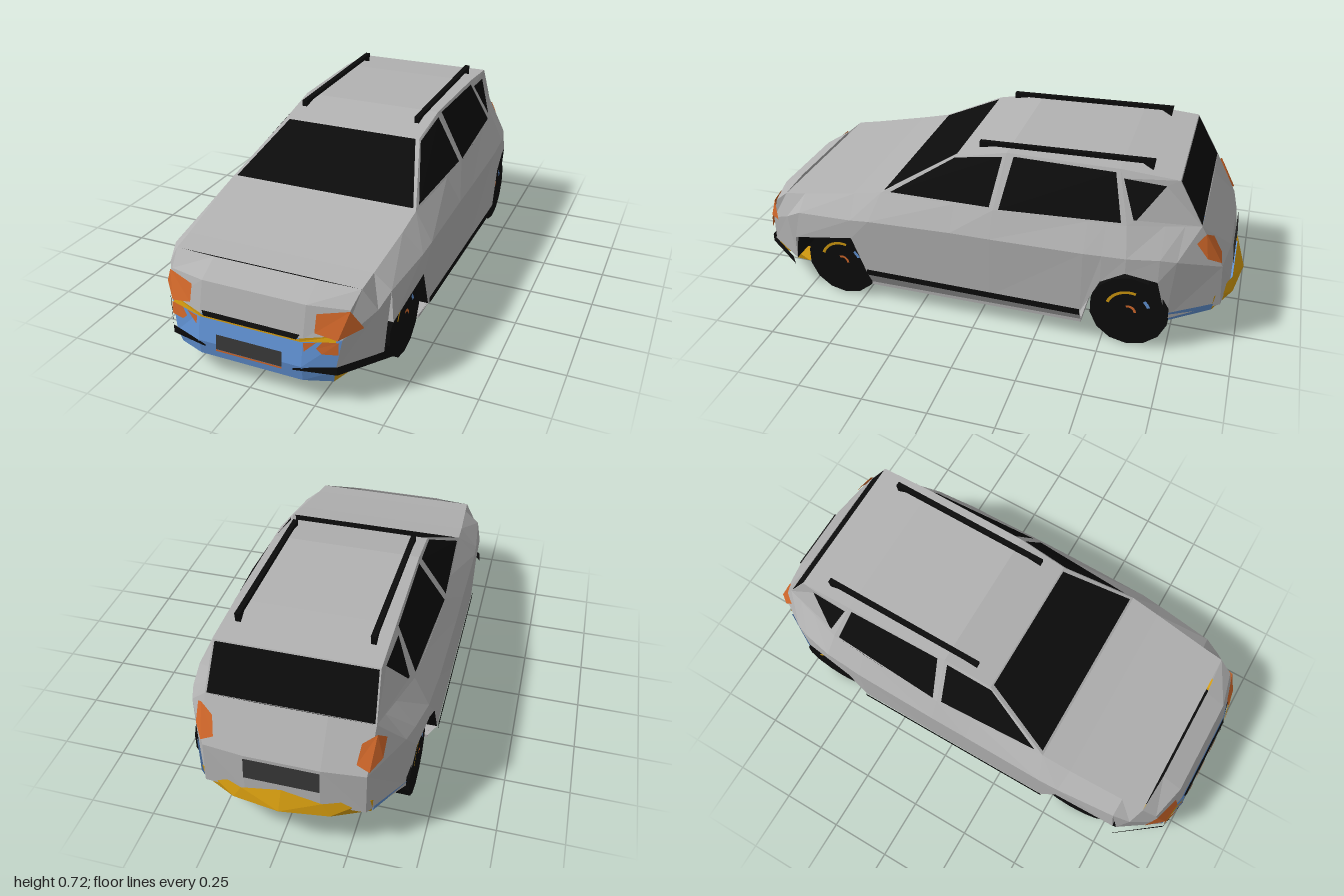
import * as THREE from 'three';

const paint = (name, color) => {
  const m = new THREE.MeshStandardMaterial({ color, side: THREE.DoubleSide, flatShading: true });
  m.name = name;
  return m;
};
const grey = paint('body grey', 0xb2b2b2), black = paint('black', 0x0c0c0c), blue = paint('blue', 0x6294d6),
  yellow = paint('yellow', 0xd0980f), orange = paint('orange', 0xd2682a), dark = paint('plate grey', 0x383838);

const flip = (pts) => pts.map(([x, y, z]) => [-x, y, z]);
const mix = (a, b, t) => a.map((v, i) => v + (b[i] - v) * t);

export function createModel() {
  const car = new THREE.Group();
  car.name = 'car';

  const add = (name, mat, geo) => {
    const mesh = new THREE.Mesh(geo, mat);
    mesh.name = name;
    car.add(mesh);
    return mesh;
  };
  const fromTris = (name, mat, tris) => {
    const geo = new THREE.BufferGeometry();
    geo.setAttribute('position', new THREE.Float32BufferAttribute(tris.flat(), 3));
    geo.computeVertexNormals();
    return add(name, mat, geo);
  };
  // Flat polygon as a fan
  const panel = (name, mat, p) => {
    const t = [];
    for (let i = 1; i < p.length - 1; i++) t.push(p[0], p[i], p[i + 1]);
    fromTris(name, mat, t);
  };
  // Surface joining rows of points with equal counts
  const skin = (name, mat, rows) => {
    const t = [];
    for (let r = 0; r < rows.length - 1; r++) {
      for (let i = 0; i < rows[r].length - 1; i++) {
        const [a, b, c, d] = [rows[r][i], rows[r][i + 1], rows[r + 1][i + 1], rows[r + 1][i]];
        t.push(a, b, c, a, c, d);
      }
    }
    fromTris(name, mat, t);
  };
  const panels = (name, mat, p) => { panel(name + 'Left', mat, p); panel(name + 'Right', mat, flip(p)); };
  const skins = (name, mat, rows) => { skin(name + 'Left', mat, rows); skin(name + 'Right', mat, rows.map(flip)); };
  // Half row continued across the centre
  const across = (row) => [...row, ...flip(row).reverse()];
  // Glass set into a four-cornered frame, inner corners given as (u, v)
  const framed = (name, quad, inner, mirror) => {
    const [a, b, c, d] = quad;
    const q = inner.map(([u, v]) => mix(mix(a, b, u), mix(d, c, u), v));
    const close = (p) => [...p, p[0]];
    (mirror ? skins : skin)(name + 'Frame', grey, [close(quad), close(q)]);
    (mirror ? panels : panel)(name + 'Glass', black, q);
  };

  // Side body lines from nose to tail: lower edge with arches, bulge, belt
  const lower = [[.31, .13, .96], [.42, .13, .8], [.445, .25, .78], [.46, .3, .52], [.46, .14, .46], [.46, .14, .1],
    [.46, .14, -.06], [.46, .14, -.42], [.455, .29, -.49], [.45, .34, -.58], [.43, .31, -.7], [.41, .14, -.74], [.3, .17, -.93]];
  const bulge = [[.33, .25, .945], [.41, .32, .83], [.43, .36, .76], [.455, .38, .52], [.46, .39, .44], [.46, .4, .1],
    [.46, .4, -.06], [.455, .4, -.42], [.45, .4, -.49], [.445, .4, -.58], [.42, .4, -.7], [.4, .39, -.76], [.3, .34, -.92]];
  const belt = [[.345, .35, .91], [.36, .4, .85], [.365, .415, .76], [.38, .46, .53], [.385, .487, .41], [.401, .496, .1],
    [.41, .5, -.06], [.393, .504, -.42], [.389, .505, -.49], [.385, .505, -.565], [.341, .505, -.7], [.324, .505, -.77], [.31, .505, -.83]];
  skins('bodySide', grey, [lower, bulge, belt]);

  // Hood, roof and glasshouse
  skin('hood', grey, belt.slice(1, 5).map((p) => across([p])));
  const roof = [[.29, .65, .12], [.295, .69, -.08], [.3, .69, -.515], [.3, .675, -.735]];
  skin('roof', grey, roof.map((p) => across([p])));
  framed('frontDoorWindow', [belt[4], belt[6], roof[1], roof[0]], [[.06, .04], [.96, .04], [.94, .93], [.06, .93]], true);
  framed('rearDoorWindow', [belt[6], belt[9], roof[2], roof[1]], [[.04, .02], [.96, .04], [.96, .93], [.07, .95]], true);
  framed('quarterWindow', [belt[9], belt[12], roof[3], roof[2]], [[.1, .1], [.14, .1], [.72, .82], [.04, .84]], true);
  const flipOne = (p) => flip([p])[0];
  framed('windshield', [flipOne(belt[4]), belt[4], roof[0], flipOne(roof[0])],
    [[.015, .03], [.985, .03], [.97, .98], [.03, .98]]);
  framed('rearWindow', [flipOne(belt[12]), belt[12], roof[3], flipOne(roof[3])],
    [[.01, .01], [.99, .01], [.99, .97], [.01, .97]]);

  // Nose and front bumper
  const noseLow = [bulge[0], [.2, .24, .975]];
  skin('nose', grey, [across([belt[1], [.2, .403, .86]]), across([belt[0], [.2, .355, .945]]), across(noseLow)]);
  const bumperMid = [lower[0], [.2, .14, .995]], bumperLow = [[.3, .08, .95], [.2, .08, .985]];
  skin('frontBumper', blue, [across(noseLow), across(bumperMid), across(bumperLow)]);
  panels('bumperCorner', yellow, [lower[0], lower[1], [.36, .08, .78], [.3, .08, .95]]);
  panel('frontBumperUnderside', yellow, [...across(bumperLow), [-.36, .08, .78], [.36, .08, .78]]);
  skins('bumperRub', black, [
    [[.17, .132, 1], [.32, .155, .968], [.45, .155, .8]],
    [[.17, .124, 1], [.32, .122, .968], [.455, .122, .79]]]);
  panels('noseTrim', yellow, [[.315, .268, .953], [.19, .245, .984], [.19, .233, .985], [.315, .248, .962]]);
  panel('noseTrimCentre', yellow, across([[.19, .242, .984], [.19, .233, .985]]));
  panel('grille', black, across([[.19, .255, .977], [.18, .24, .986]]));
  panel('frontPlate', dark, across([[.128, .18, .993], [.128, .123, .999]]));
  panel('frontPlateEdge', orange, across([[.128, .123, 1], [.128, .116, 1]]));

  // Front lamps wrapping round the corners, indicators below
  panels('headlamp', orange, [[.348, .35, .918], [.24, .333, .95], [.24, .27, .969], [.32, .254, .96]]);
  panels('headlampSide', orange, [[.348, .35, .918], [.32, .254, .96], [.385, .28, .89]]);
  panels('indicator', orange, [[.323, .246, .958], [.27, .245, .972], [.25, .218, .98], [.27, .2, .978], [.323, .2, .962]]);
  panels('indicatorTip', orange, [[.25, .24, .976], [.205, .232, .985], [.208, .2, .988]]);

  // Tailgate, plate and lamps
  const tailMid = [bulge[12], [.14, .345, -.94]], tailLow = [lower[12], [.14, .19, -.955]];
  skin('tailgate', grey, [across([belt[12], [.14, .505, -.832]]), across(tailMid), across(tailLow)]);
  panel('rearPlate', dark, across([[.14, .34, -.948], [.14, .255, -.957]]));
  panels('tailLamp', orange, [[.318, .48, -.85], [.27, .45, -.875], [.26, .38, -.91], [.307, .36, -.916]]);
  panels('tailLampSide', orange, [[.318, .48, -.85], [.307, .36, -.916], [.342, .39, -.865], [.345, .45, -.82]]);

  // Rear bumper
  const rearTop = [[.32, .215, -.905], [.15, .205, -.962], [0, .235, -.962]];
  const rearLip = [[.315, .15, -.9], [.18, .158, -.97], [0, .165, -1]];
  const rearUnder = [[.36, .11, -.75], [.2, .1, -.75], [0, .1, -.75]];
  skins('rearBumper', yellow, [rearTop, rearLip]);
  skins('rearBumperUnderside', blue, [rearLip, rearUnder]);
  panels('rearBumperSide', blue, [[.415, .17, -.742], [.325, .185, -.905], [.315, .15, -.9], [.38, .115, -.75]]);

  // Sills and wheel arch liners
  const sill = lower.slice(4, 8);
  skins('sill', grey, [sill, sill.map(([, , z]) => [.425, .08, z])]);
  panels('sillStripe', black, [[.465, .14, .46], [.465, .165, .46], [.465, .155, -.42], [.465, .128, -.42]]);
  [lower.slice(1, 5), lower.slice(7, 12)].forEach((arch) =>
    skins('archLiner', black, [arch, arch.map(([, y, z]) => [.25, y, z])]));

  // Underside
  const box = (name, mat, w, h, d, y, z) => add(name, mat, new THREE.BoxGeometry(w, h, d)).position.set(0, y, z);
  box('frontBay', black, .5, .22, .5, .19, .66);
  box('rearBay', black, .5, .24, .4, .21, -.6);
  box('floor', grey, .85, .015, .88, .074, .02);
  box('floorEdge', black, .8, .012, .8, .071, .02);
  box('floorPan', grey, .76, .01, .86, .062, .02);
  box('frontLip', black, .52, .025, .46, .068, .66);

  // Wheels with painted rim marks
  for (const side of [1, -1]) {
    for (const z of [.59, -.6]) {
      const wheel = new THREE.Group();
      wheel.name = 'wheel';
      wheel.position.set(side * .345, .15, z);
      wheel.rotation.y = side * Math.PI / 2;
      const part = (name, mat, geo, depth) => {
        const m = new THREE.Mesh(geo, mat);
        m.name = name;
        m.position.z = depth;
        wheel.add(m);
      };
      part('tyre', black, new THREE.CylinderGeometry(.152, .152, .146, 14).rotateX(Math.PI / 2), 0);
      part('rimArc', yellow, new THREE.RingGeometry(.082, .094, 10, 1, 1.3, 1.5), .076);
      part('rimMark', blue, new THREE.RingGeometry(.075, .088, 4, 1, .4, .4), .076);
      part('hubMark', orange, new THREE.RingGeometry(.02, .03, 6, 1, 0, 2), .076);
      car.add(wheel);
    }
  }

  // Roof rails
  const rail = new THREE.Shape([[-.04, .678], [-.04, .703], [.635, .72], [.63, .68], [.59, .703], [.02, .69]]
    .map(([x, y]) => new THREE.Vector2(x, y)));
  for (const side of [1, -1]) {
    const geo = new THREE.ExtrudeGeometry(rail, { depth: .02, bevelEnabled: false });
    add('roofRail', black, geo.rotateY(Math.PI / 2)).position.x = side * .247 - .01;
  }
  return car;
}
